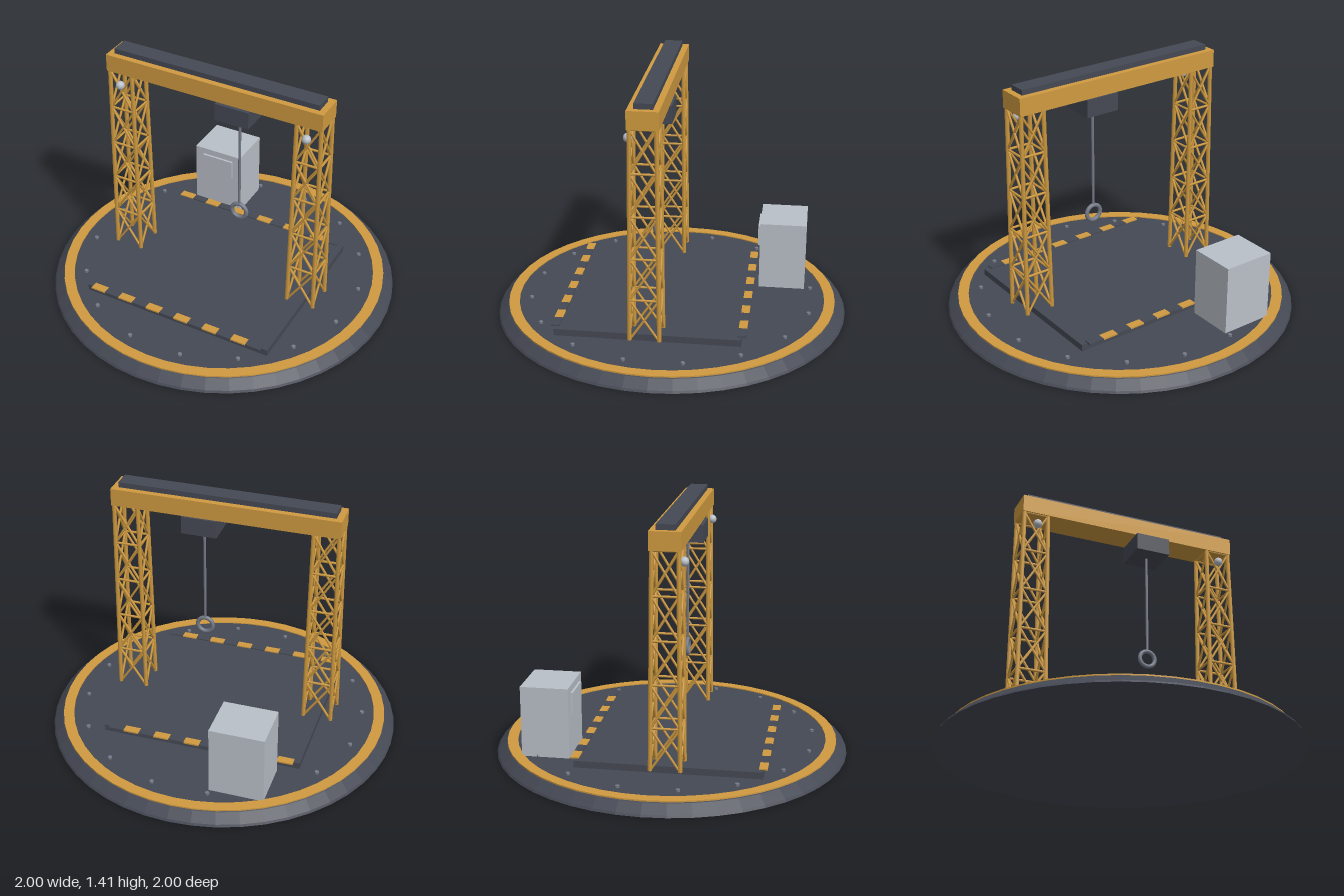
import * as THREE from 'three';

const mat = (name, color) => {
  const m = new THREE.MeshStandardMaterial({ color });
  m.name = name;
  return m;
};

export function createModel() {
  const dark = mat('dark steel', 0x454954);
  const yellow = mat('safety yellow', 0xd09b40);
  const pale = mat('pale grey', 0xbac0c8);
  const steel = mat('cable steel', 0x747a88);

  const model = new THREE.Group();
  model.name = 'gantryCrane';
  const add = (name, geo, material, x = 0, y = 0, z = 0, parent = model) => {
    const mesh = new THREE.Mesh(geo, material);
    mesh.name = name;
    mesh.position.set(x, y, z);
    parent.add(mesh);
    return mesh;
  };
  const box = (name, material, w, h, d, x, y, z) =>
    add(name, new THREE.BoxGeometry(w, h, d), material, x, y, z);

  // Straight round bar between two points
  const bar = (name, a, b, r, material, parent) => {
    const dir = b.clone().sub(a);
    const mesh = add(name, new THREE.CylinderGeometry(r, r, dir.length(), 6), material, 0, 0, 0, parent);
    mesh.position.copy(a).add(b).multiplyScalar(0.5);
    mesh.quaternion.setFromUnitVectors(new THREE.Vector3(0, 1, 0), dir.normalize());
  };

  const ZC = 0.066; // centre line of the gantry

  // Round base with sloping rim
  const base = [[0, 0], [1, 0], [0.993, 0.012], [0.945, 0.055], [0.935, 0.06], [0, 0.06]]
    .map(([x, y]) => new THREE.Vector2(x, y));
  const baseGeo = new THREE.LatheGeometry(base, 48).toNonIndexed();
  baseGeo.computeVertexNormals();
  add('base', baseGeo, dark);

  // Painted ring
  const ring = [[0.88, 0.058], [0.94, 0.058], [0.94, 0.066], [0.88, 0.066], [0.88, 0.058]]
    .map(([x, y]) => new THREE.Vector2(x, y));
  const ringGeo = new THREE.LatheGeometry(ring, 48).toNonIndexed();
  ringGeo.computeVertexNormals();
  add('edgeRing', ringGeo, yellow);

  // Bolts around the base
  for (let i = 0; i < 16; i++) {
    const a = (i + 0.5) * Math.PI / 8;
    add('bolt', new THREE.CylinderGeometry(0.012, 0.012, 0.014, 8), steel,
      0.81 * Math.cos(a), 0.065, 0.81 * Math.sin(a));
  }

  // Work deck with hazard strips along the front and back
  box('deck', dark, 1.15, 0.04, 1.02, 0, 0.078, ZC);
  for (const z of [-0.445, 0.573]) {
    for (let i = 0; i < 12; i++) {
      box('hazardTile', i % 2 ? dark : yellow, 0.09, 0.009, 0.046, -0.495 + i * 0.09, 0.1, z);
    }
  }

  // Tapered lattice towers
  const Y0 = 0.1, STEP = 0.236, PANELS = 5;
  const corners = [[-1, -1], [1, -1], [1, 1], [-1, 1]];
  for (const side of [-1, 1]) {
    const tower = new THREE.Group();
    tower.name = side > 0 ? 'leftTower' : 'rightTower';
    model.add(tower);
    const at = (c, level) => {
      const half = 0.08 - 0.011 * level / PANELS;
      const [cx, cz] = corners[c % 4];
      return new THREE.Vector3(side * 0.564 + cx * half, Y0 + level * STEP, ZC + cz * half);
    };
    for (let c = 0; c < 4; c++) {
      bar('towerPost', at(c, 0), at(c, PANELS), 0.012, yellow, tower);
      for (let p = 0; p < PANELS; p++) {
        bar('diagonalBrace', at(c, p), at(c + 1, p + 1), 0.007, yellow, tower);
        bar('diagonalBrace', at(c + 1, p), at(c, p + 1), 0.007, yellow, tower);
        bar('crossBar', at(c, p + 1), at(c + 1, p + 1), 0.007, yellow, tower);
      }
    }
    // Lamp near the tower top
    add('lamp', new THREE.SphereGeometry(0.025, 16, 12), pale, side * 0.56, 1.212, 0.153);
  }

  // Beam and its top rail
  box('beam', yellow, 1.29, 0.1, 0.168, 0, 1.33, ZC);
  box('topRail', dark, 1.22, 0.03, 0.1, 0, 1.395, ZC);

  // Trolley, cable and lifting ring
  box('trolley', dark, 0.2, 0.1, 0.2, 0.135, 1.23, ZC + 0.004);
  add('cable', new THREE.CylinderGeometry(0.008, 0.008, 0.6, 8), steel, 0.135, 0.89, ZC + 0.004);
  add('liftingRing', new THREE.TorusGeometry(0.045, 0.012, 10, 28), steel, 0.135, 0.55, ZC + 0.004);

  // Control cabinet with raised front panel
  box('cabinet', pale, 0.305, 0.4, 0.267, -0.308, 0.26, -0.627);
  box('cabinetPanel', pale, 0.2, 0.118, 0.016, -0.306, 0.362, -0.488);

  return model;
}
